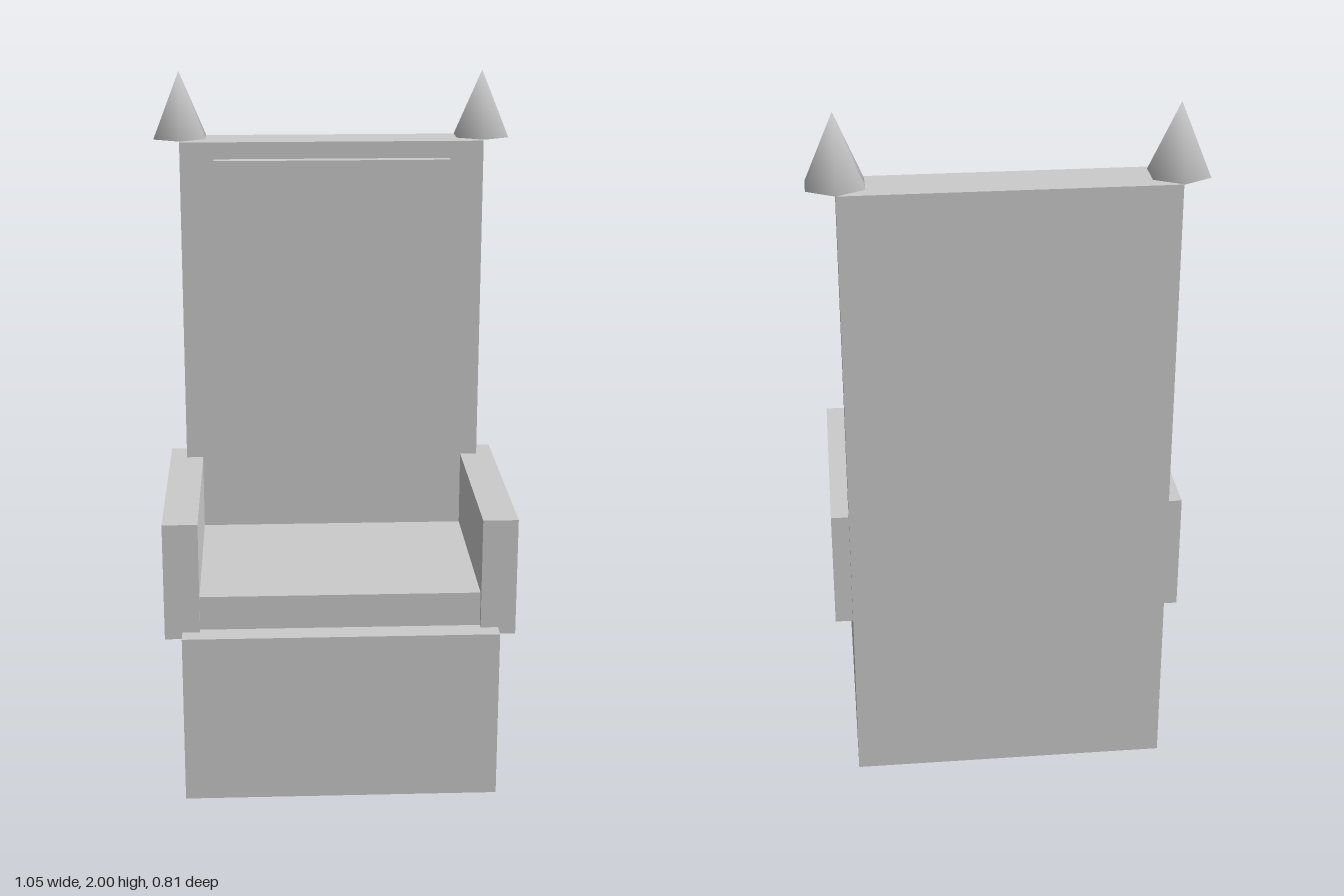
import * as THREE from 'three';
import { mergeVertices } from 'three/addons/utils/BufferGeometryUtils.js';

const material = new THREE.MeshStandardMaterial({ color: 0xcccccc });

// Box given by its extents on each axis
function box(name, [x0, x1], [y0, y1], [z0, z1]) {
  const mesh = new THREE.Mesh(new THREE.BoxGeometry(x1 - x0, y1 - y0, z1 - z0), material);
  mesh.position.set((x0 + x1) / 2, (y0 + y1) / 2, (z0 + z1) / 2);
  mesh.name = name;
  return mesh;
}

// Six-sided spike with normals smoothed across all its faces
function spikeGeometry(radius, height) {
  const cone = new THREE.ConeGeometry(radius, height, 6);
  cone.deleteAttribute('normal');
  cone.deleteAttribute('uv');
  const smooth = mergeVertices(cone);
  smooth.computeVertexNormals();
  return smooth;
}

export function createModel() {
  const group = new THREE.Group();
  group.name = 'throne';

  // Solid base, seat, tall back and raised panel
  group.add(
    box('base', [-0.45, 0.45], [0, 0.5], [-0.395, 0.405]),
    box('seat', [-0.4, 0.4], [0.5, 0.6], [-0.245, 0.337]),
    box('backrest', [-0.45, 0.45], [0.5, 1.8], [-0.395, -0.245]),
    box('backPanel', [-0.35, 0.35], [1.25, 1.75], [-0.245, -0.21])
  );

  // Armrests and corner spikes, mirrored
  const spike = spikeGeometry(0.089, 0.195);
  for (const [side, s] of [['left', 1], ['right', -1]]) {
    const arm = box(side + 'Armrest', [-0.05, 0.05], [0.48, 0.825], [-0.335, 0.355]);
    arm.position.x = s * 0.45;
    const finial = new THREE.Mesh(spike, material);
    finial.name = side + 'Finial';
    finial.position.set(s * 0.45, 1.9025, -0.32);
    group.add(arm, finial);
  }
  return group;
}
